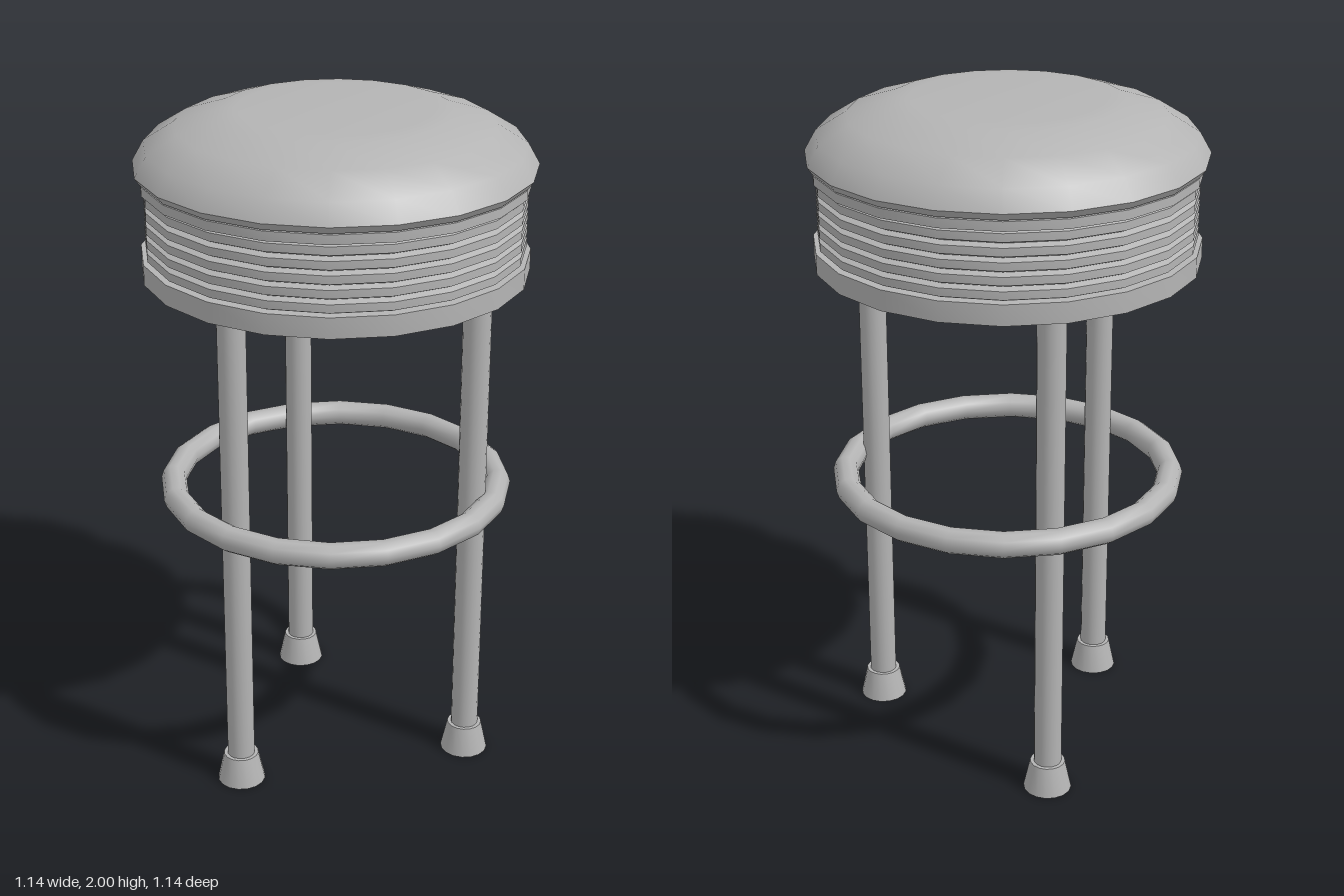
import * as THREE from 'three';
import { toCreasedNormals } from 'three/addons/utils/BufferGeometryUtils.js';

const SIDES = 20;

// Turned part from [radius, height] pairs listed bottom to top
function lathe(name, profile, material, sides = SIDES, crease = 0.5) {
  const points = profile.map(([r, y]) => new THREE.Vector2(r, y));
  const geometry = toCreasedNormals(new THREE.LatheGeometry(points, sides), crease);
  const mesh = new THREE.Mesh(geometry, material);
  mesh.name = name;
  return mesh;
}

export function createModel() {
  const stool = new THREE.Group();
  stool.name = 'barStool';
  const grey = new THREE.MeshStandardMaterial({ color: 0xb4b4b4, side: THREE.DoubleSide });
  grey.name = 'plainGrey';

  // Flat base plate under the seat
  stool.add(lathe('seatBase', [[0, 1.535], [0.555, 1.535], [0.555, 1.595], [0.5, 1.595]], grey));

  // Ribbed band: five ridges parted by narrow grooves
  const ribs = [];
  const bottom = 1.595, pitch = 0.0395;
  for (let i = 0; i < 5; i++) {
    const y = bottom + i * pitch;
    ribs.push([0.525, y], [0.543, y + 0.008], [0.543, y + pitch - 0.008], [0.525, y + pitch]);
  }
  stool.add(lathe('ribbedBand', ribs, grey));

  // Trim ring between the band and the cushion
  stool.add(lathe('trimRing', [[0.5, 1.793], [0.553, 1.793], [0.553, 1.82], [0.54, 1.824]], grey));

  // Domed cushion with a flat top
  stool.add(lathe('cushion', [
    [0.53, 1.822], [0.555, 1.824], [0.57, 1.845], [0.537, 1.903],
    [0.45, 1.957], [0.33, 1.995], [0.275, 2], [0, 2],
  ], grey, SIDES, 0.7));

  // Foot ring
  const ring = new THREE.Mesh(new THREE.TorusGeometry(0.486, 0.038, 10, SIDES), grey);
  ring.name = 'footRing';
  ring.rotation.x = Math.PI / 2;
  ring.position.y = 0.858;
  stool.add(ring);

  // Three legs, each with a hollow flared foot
  for (const [x, z] of [[0.345, 0.245], [-0.36, 0.215], [0, -0.415]]) {
    const leg = new THREE.Group();
    leg.name = 'leg';
    leg.position.set(x, 0, z);
    const post = new THREE.Mesh(new THREE.CylinderGeometry(0.041, 0.041, 1.455, 16), grey);
    post.name = 'legPost';
    post.position.y = 0.085 + 1.455 / 2;
    leg.add(post);
    leg.add(lathe('foot', [[0.0715, 0], [0.052, 0.09], [0.04, 0.09]], grey, 16, 0.6));
    stool.add(leg);
  }
  return stool;
}
